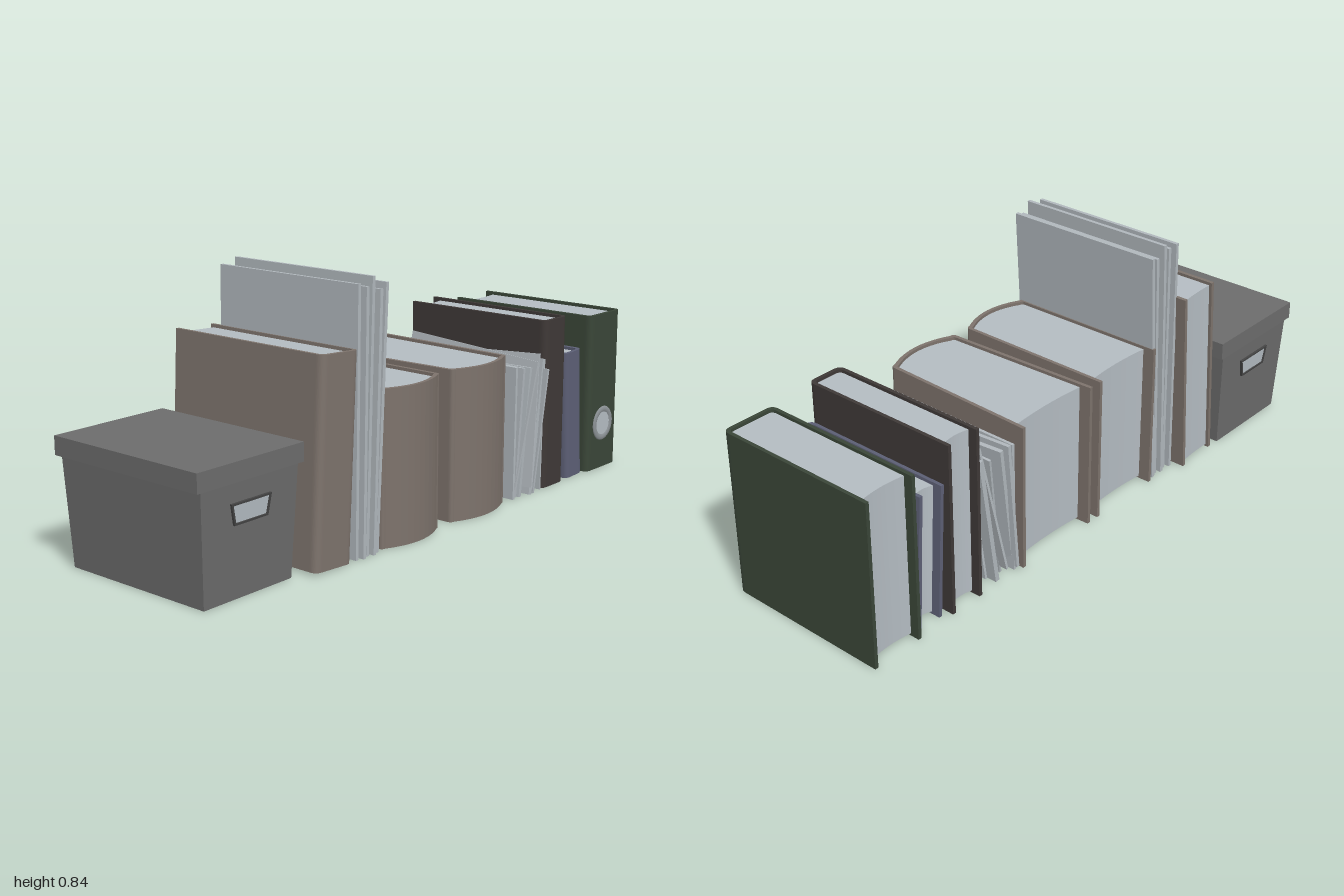
import * as THREE from 'three';

const mat = (color) => new THREE.MeshStandardMaterial({ color, side: THREE.DoubleSide });
const PAGE = mat(0xb4bcc2), SHEET = mat(0xb0b7bc), BROWN = mat(0x7d736c), BLACK = mat(0x3f3937);
const BLUE = mat(0x5c5f75), GREEN = mat(0x3a4638), CARD = mat(0x6c6c6c), DARK = mat(0x444444);

function add(parent, name, geometry, material, x = 0, y = 0, z = 0) {
  const mesh = new THREE.Mesh(geometry, material);
  mesh.name = name;
  mesh.position.set(x, y, z);
  parent.add(mesh);
  return mesh;
}

// Plan outline (shape y = -z) raised from y0 to y1
function raise(shape, y0, y1) {
  const g = new THREE.ExtrudeGeometry(shape, { depth: y1 - y0, bevelEnabled: false, curveSegments: 10 });
  g.rotateX(-Math.PI / 2);
  g.translate(0, y0, 0);
  return g;
}

// Spine side of a book, from one board to the other (s = 1: left to right)
function spine(shape, s, half, front, r, bulge) {
  shape.lineTo(-s * half, -(front - r));
  shape.quadraticCurveTo(-s * half, -front, -s * (half - r), -front);
  shape.quadraticCurveTo(0, -(front + 2 * bulge), s * (half - r), -front);
  shape.quadraticCurveTo(s * half, -front, s * half, -(front - r));
}

// A cover wrapped round a page block with a hollow back edge, centred on x = 0
function book(name, { width, splay = 0, height, back, front, bulge = 0, r = 0.025, t = 0.012, inset = 0.03, hollow = 0.008, color }) {
  const group = new THREE.Group();
  group.name = name;
  const hf = width / 2 - splay, hb = width / 2;

  const cover = new THREE.Shape();
  cover.moveTo(-hb, -back);
  spine(cover, 1, hf, front, r, bulge);
  cover.lineTo(hb, -back);
  cover.lineTo(hb - t, -back);
  spine(cover, -1, hf - t, front - t, r * 0.7, bulge);
  cover.lineTo(-hb + t, -back);
  cover.closePath();
  add(group, 'cover', raise(cover, 0, height), color);

  const pages = new THREE.Shape();
  const pb = back + inset;
  pages.moveTo(-hb + t, -pb);
  spine(pages, 1, hf - t, front - t, r * 0.7, bulge);
  pages.lineTo(hb - t, -pb);
  pages.quadraticCurveTo(0, -(pb + 2 * hollow), -hb + t, -pb);
  add(group, 'pages', raise(pages, 0.008, height - 0.01), PAGE);
  return group;
}

// Thin sheet standing on its lower edge, leaning from x0 to x1
function sheet(parent, name, x0, x1, height, t, depth, z = 0, yaw = 0, pitch = 0) {
  const lean = Math.atan2(x1 - x0, height);
  const g = new THREE.BoxGeometry(t, height / Math.cos(lean), depth);
  g.rotateX(pitch);
  g.rotateY(yaw);
  g.rotateZ(-lean);
  g.computeBoundingBox();
  return add(parent, name, g, SHEET, (x0 + x1) / 2, -g.boundingBox.min.y, z);
}

function trapezoid(top, bottom, h) {
  return [[-bottom / 2, -h / 2], [bottom / 2, -h / 2], [top / 2, h / 2], [-top / 2, h / 2]]
    .map(([x, y]) => new THREE.Vector2(x, y));
}

function storageBox() {
  const box = new THREE.Group();
  box.name = 'storageBox';
  box.position.set(-0.795, 0, -0.04);

  // Body narrows towards the floor
  const body = new THREE.BoxGeometry(0.376, 0.345, 0.57);
  const p = body.attributes.position;
  for (let i = 0; i < p.count; i++) {
    if (p.getY(i) < 0) p.setXYZ(i, p.getX(i) * 0.91, p.getY(i), p.getZ(i) * 0.945);
  }
  body.computeVertexNormals();
  add(box, 'boxBody', body, CARD, 0, 0.1725, 0);
  add(box, 'boxLid', new THREE.BoxGeometry(0.412, 0.058, 0.584), CARD, 0, 0.37, 0);

  // Framed grips at the front and back
  for (const s of [1, -1]) {
    const grip = new THREE.Group();
    grip.name = s > 0 ? 'frontGrip' : 'backGrip';
    const rim = new THREE.Shape(trapezoid(0.155, 0.13, 0.064));
    rim.holes.push(new THREE.Path(trapezoid(0.141, 0.119, 0.052)));
    add(grip, 'gripRim', new THREE.ExtrudeGeometry(rim, { depth: 0.008, bevelEnabled: false }), DARK);
    add(grip, 'gripPlate', new THREE.ShapeGeometry(new THREE.Shape(trapezoid(0.145, 0.122, 0.056))), PAGE, 0, 0, 0.004);
    const pivot = new THREE.Group();
    pivot.name = 'gripSide';
    grip.position.set(0, 0.25, 0.28);
    grip.rotation.x = 0.046;
    pivot.rotation.y = s > 0 ? 0 : Math.PI;
    pivot.add(grip);
    box.add(pivot);
  }
  return box;
}

export function createModel() {
  const model = new THREE.Group();
  model.name = 'shelfRow';
  model.add(storageBox());

  // Tall book leaning on the folders
  const leaning = new THREE.Group();
  leaning.name = 'leaningBook';
  leaning.position.set(-0.418, 0, 0);
  leaning.rotation.z = -0.056;
  const tall = book('tallBook', { width: 0.157, height: 0.633, back: -0.315, front: 0.28, inset: 0.01, hollow: 0.003, color: BROWN });
  tall.position.x = -0.0785;
  leaning.add(tall);
  model.add(leaning);

  // Upright card folders
  const folders = new THREE.Group();
  folders.name = 'cardFolders';
  [[-0.392, -0.378, 0.82], [-0.368, -0.352, 0.81], [-0.345, -0.315, 0.835], [-0.322, -0.291, 0.795], [-0.3, -0.255, 0.81]]
    .forEach(([a, b, h], i) => sheet(folders, 'folder' + (i + 1), a, b, h, 0.012, 0.555, i % 2 ? 0.008 : -0.001));
  model.add(folders);

  // Two thick books with round spines
  const thick = { height: 0.493, back: -0.285, front: 0.272, bulge: 0.032, r: 0.015, inset: 0.04, color: BROWN };
  const first = book('thickBook1', { ...thick, width: 0.285, splay: 0.004 });
  first.position.x = -0.134;
  const second = book('thickBook2', { ...thick, width: 0.325, splay: 0.02 });
  second.position.x = 0.207;
  model.add(first, second);

  // Loose papers: foot x, head x, height, thickness, depth, z, yaw, pitch
  const papers = new THREE.Group();
  papers.name = 'loosePapers';
  [
    [0.39, 0.395, 0.445, 0.01, 0.55, 0.005, 0, 0],
    [0.4, 0.425, 0.435, 0.012, 0.55, 0, 0.05, 0.02],
    [0.405, 0.455, 0.43, 0.014, 0.54, 0.01, 0.08, 0],
    [0.42, 0.505, 0.45, 0.008, 0.55, 0.01, -0.04, 0.06],
    [0.445, 0.515, 0.44, 0.008, 0.55, 0.015, 0.05, -0.06],
    [0.47, 0.535, 0.45, 0.016, 0.56, 0.01, 0, 0],
    [0.5, 0.542, 0.42, 0.008, 0.55, 0.025, -0.03, 0.05],
    [0.535, 0.54, 0.27, 0.006, 0.52, 0.02, 0.03, 0],
  ].forEach((a, i) => sheet(papers, 'paper' + (i + 1), ...a));
  model.add(papers);

  // Black book and the small blue book leaning on it
  const black = book('blackBook', { width: 0.127, height: 0.575, back: -0.28, front: 0.282, color: BLACK });
  black.position.x = 0.614;
  model.add(black);
  const tilted = new THREE.Group();
  tilted.name = 'leaningSmallBook';
  tilted.position.set(0.703, 0, 0);
  tilted.rotation.z = 0.056;
  const small = book('smallBook', { width: 0.098, height: 0.443, back: -0.26, front: 0.28, color: BLUE });
  small.position.x = 0.049;
  tilted.add(small);
  model.add(tilted);

  // Ring binder with a finger hole in its spine
  const binder = book('ringBinder', { width: 0.185, height: 0.552, back: -0.285, front: 0.288, color: GREEN });
  binder.position.x = 0.9075;
  const ring = add(binder, 'fingerRing', new THREE.TorusGeometry(0.05, 0.011, 8, 32), mat(0x8c9296), 0, 0.16, 0.288);
  ring.scale.z = 0.4;
  const disc = add(binder, 'fingerHole', new THREE.CircleGeometry(0.045, 32), PAGE, 0, 0.16, 0.2895);
  disc.material = PAGE;
  model.add(binder);

  return model;
}
